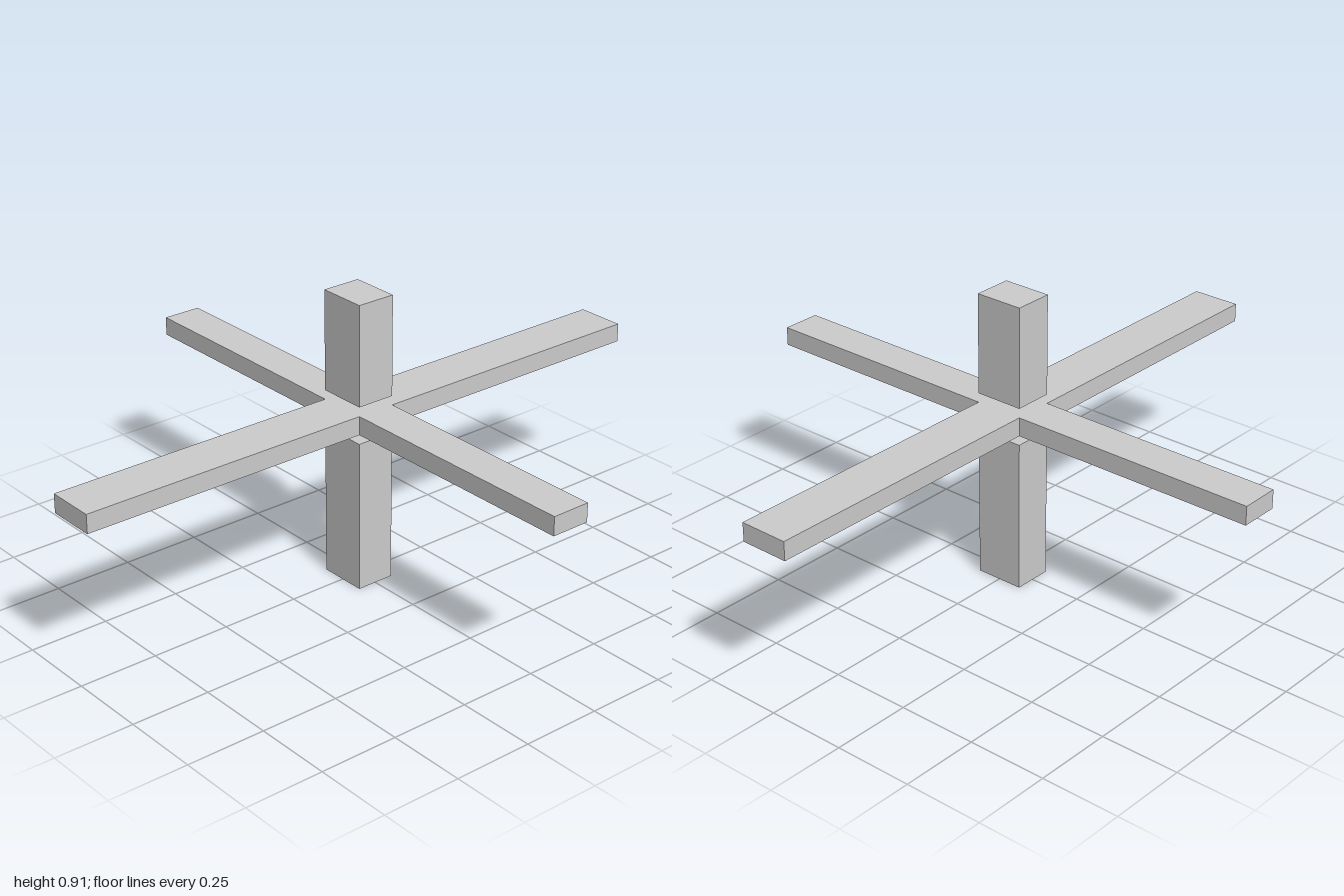
import * as THREE from 'three';

const material = new THREE.MeshStandardMaterial({ color: 0xcccccc, flatShading: true });

// Box centred on the vertical axis, spanning bottom to top
function block(name, width, depth, bottom, top) {
  const mesh = new THREE.Mesh(new THREE.BoxGeometry(width, top - bottom, depth), material);
  mesh.name = name;
  mesh.position.y = (bottom + top) / 2;
  return mesh;
}

export function createModel() {
  const group = new THREE.Group();
  group.name = 'crossedBeams';
  const w = 0.124, d = 0.156; // post section, shared by the beam widths

  // Vertical posts, with a small gap above and below the beams
  group.add(block('lowerPost', w, d, 0, 0.48));
  group.add(block('upperPost', w, d, 0.598, 0.914));

  // Two horizontal beams crossing at the same height
  group.add(block('sideBeam', 2, d, 0.51, 0.569));
  group.add(block('frontBackBeam', w, 1.756, 0.51, 0.569));
  return group;
}
